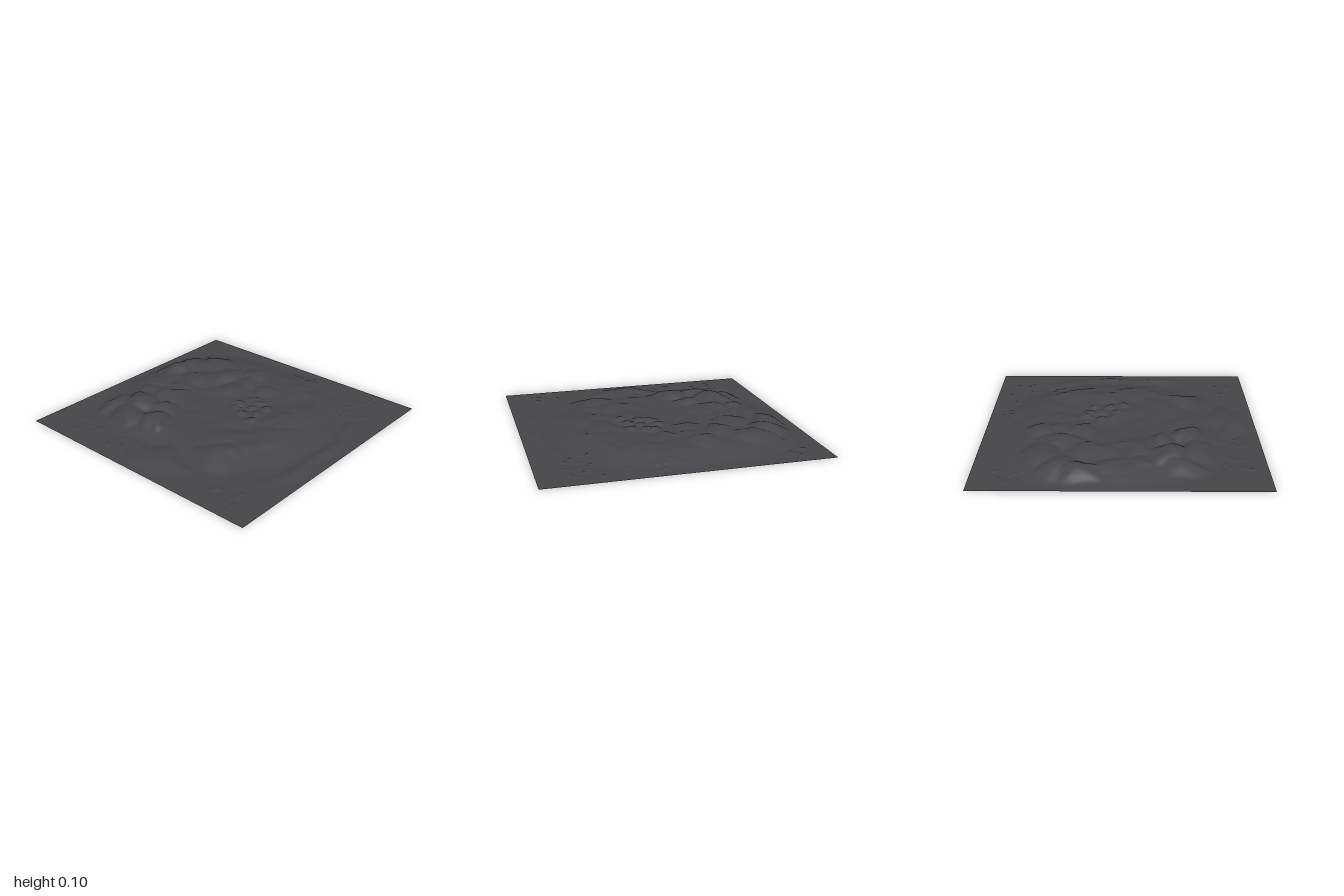
import * as THREE from 'three';

const SEG = 220;

// Plateau radius every 45 degrees, from +x round towards +z
const OUTLINE = [0.96, 0.95, 0.84, 0.86, 0.77, 0.95, 1.05, 1.1];

// Rocky mounds: x, z, radius x, radius z, height above the plateau
const MOUNDS = [
  [-0.43, -0.72, 0.16, 0.13, 0.032], [-0.35, -0.57, 0.17, 0.16, 0.05], [-0.53, -0.5, 0.14, 0.17, 0.04],
  [-0.48, -0.28, 0.14, 0.13, 0.046], [-0.3, -0.36, 0.1, 0.14, 0.034], [-0.11, -0.46, 0.14, 0.17, 0.03],
  [-0.14, -0.66, 0.1, 0.1, 0.022], [0.02, -0.73, 0.17, 0.11, 0.018], [0.08, -0.52, 0.11, 0.13, 0.018],
  [0.27, -0.8, 0.18, 0.13, 0.042], [0.43, -0.74, 0.14, 0.15, 0.032], [0.23, -0.5, 0.15, 0.15, 0.032],
  [0.42, -0.38, 0.17, 0.14, 0.034], [0.55, -0.56, 0.16, 0.17, 0.032], [0.27, -0.18, 0.12, 0.11, 0.026],
  [0.42, -0.15, 0.11, 0.11, 0.02], [0.56, -0.2, 0.13, 0.13, 0.028], [0.43, 0.05, 0.12, 0.11, 0.022],
  [-0.52, 0.38, 0.19, 0.17, 0.03], [-0.32, 0.25, 0.13, 0.26, 0.016], [0.15, 0.42, 0.2, 0.15, 0.026],
  [0.33, 0.5, 0.18, 0.17, 0.024], [-0.08, 0.5, 0.19, 0.15, 0.018], [0.6, 0.15, 0.16, 0.26, 0.018],
  [-0.8, 0.05, 0.16, 0.3, 0.034],
];

// Loose stones in three uneven rows round the central hollow
const stones = [];
for (let i = 0; i < 9; i++) {
  const row = Math.floor(i / 3), col = i % 3;
  stones.push([
    0.07 + 0.1 * col - 0.045 * row + 0.015 * Math.sin(i * 5), 0.04 + 0.095 * row + 0.015 * Math.cos(i * 3),
    0.055, 0.07 - 0.008 * row, 0.017 + 0.003 * (i % 2),
  ]);
}

// Rubble patches: x, z, spread x, spread z
const RUBBLE = [
  [0.76, -0.8, 0.13, 0.11], [-0.78, -0.66, 0.11, 0.13], [-0.8, -0.3, 0.11, 0.08],
  [-0.8, 0.72, 0.11, 0.13], [0.6, 0.7, 0.14, 0.14], [0.86, 0.3, 0.07, 0.32], [0.8, 0.72, 0.09, 0.1],
];
const pebbles = [];
RUBBLE.forEach(([x, z, sx, sz], p) => {
  for (let i = 0; i < 16; i++) {
    const a = i * 2.4 + p + 0.6 * Math.sin(i * 7.3 + p), r = Math.sqrt((i + 0.5) / 16);
    const size = 0.02 + 0.004 * (i % 4);
    pebbles.push([x + sx * r * Math.cos(a), z + sz * r * Math.sin(a), size, size, 0.004 + 0.002 * (i % 3)]);
  }
});

const smooth = (t) => THREE.MathUtils.smoothstep(t, 0, 1);

// Highest of a set of fluted domes, whose meeting lines form creases
function domes(list, x, z, ripple) {
  let top = 0;
  list.forEach(([cx, cz, rx, rz, h], i) => {
    const u = (x - cx) / rx, v = (z - cz) / rz;
    let d = u * u + v * v;
    if (d > 2) return;
    const a = Math.atan2(v, u);
    d *= 1 + ripple * (Math.cos(5 * a + i * 1.7) + 0.7 * Math.cos(3 * a + i * 2.9));
    if (d < 1) top = Math.max(top, h * Math.pow(1 - d, 1.3));
  });
  return top;
}

function height(x, z) {
  const r = Math.hypot(x, z);
  const t = ((Math.atan2(z, x) / (Math.PI / 4)) + 8) % 8;
  const i = Math.floor(t);
  const edge = THREE.MathUtils.lerp(OUTLINE[i % 8], OUTLINE[(i + 1) % 8], smooth(t - i))
    + 0.02 * Math.sin(t * 5 * Math.PI / 4) + 0.012 * Math.sin(t * 11 * Math.PI / 4);
  const inside = smooth((edge - r) / 0.3);

  // Plateau with broad undulation and fine winding folds
  const wave = 0.005 * Math.sin(6 * x + 2.5 * Math.sin(4 * z)) + 0.004 * Math.sin(9 * z - 5 * x)
    + 0.002 * Math.sin(21 * x + 4 * Math.sin(9 * z)) + 0.0015 * Math.sin(27 * z + 3 * Math.sin(13 * x));
  let y = inside * (0.046 + wave);

  // Hollow among the loose stones
  y -= 0.01 * Math.exp(-((x - 0.13) ** 2 + (z - 0.12) ** 2) / 0.025);

  // Low curved bank along the front
  const bankLine = 0.88 - 0.25 * (x + 0.05) ** 2 + 0.015 * Math.sin(13 * x);
  const bankEnds = smooth((0.72 - Math.abs(x + 0.05)) / 0.4);
  y += (0.015 + 0.003 * Math.sin(17 * x)) * Math.exp(-(((z - bankLine) / 0.05) ** 2)) * bankEnds;

  // Mounds on a gently warped grid, so that no outline is regular
  const wx = x + 0.014 * Math.sin(19 * z + 5 * x), wz = z + 0.014 * Math.sin(17 * x - 7 * z);
  y += domes(MOUNDS, wx, wz, 0.16) + domes(stones, wx, wz, 0.12) + domes(pebbles, x, z, 0);

  // Flat border, with the back edge left slightly raised
  const border = smooth((1 - Math.max(Math.abs(x), z)) / 0.1);
  const back = 0.15 + 0.85 * smooth((1 + z) / 0.14);
  return Math.max(0, y * border * back);
}

export function createModel() {
  const group = new THREE.Group();
  group.name = 'terrain';

  const darkRock = new THREE.MeshStandardMaterial({ color: 0x464549, side: THREE.DoubleSide });
  darkRock.name = 'dark rock';

  // Ground sheet raised by the height rule
  const geometry = new THREE.PlaneGeometry(2, 2, SEG, SEG).rotateX(-Math.PI / 2);
  const pos = geometry.attributes.position;
  for (let i = 0; i < pos.count; i++) pos.setY(i, height(pos.getX(i), pos.getZ(i)));
  geometry.computeVertexNormals();

  const ground = new THREE.Mesh(geometry, darkRock);
  ground.name = 'rockyGround';
  group.add(ground);
  return group;
}
